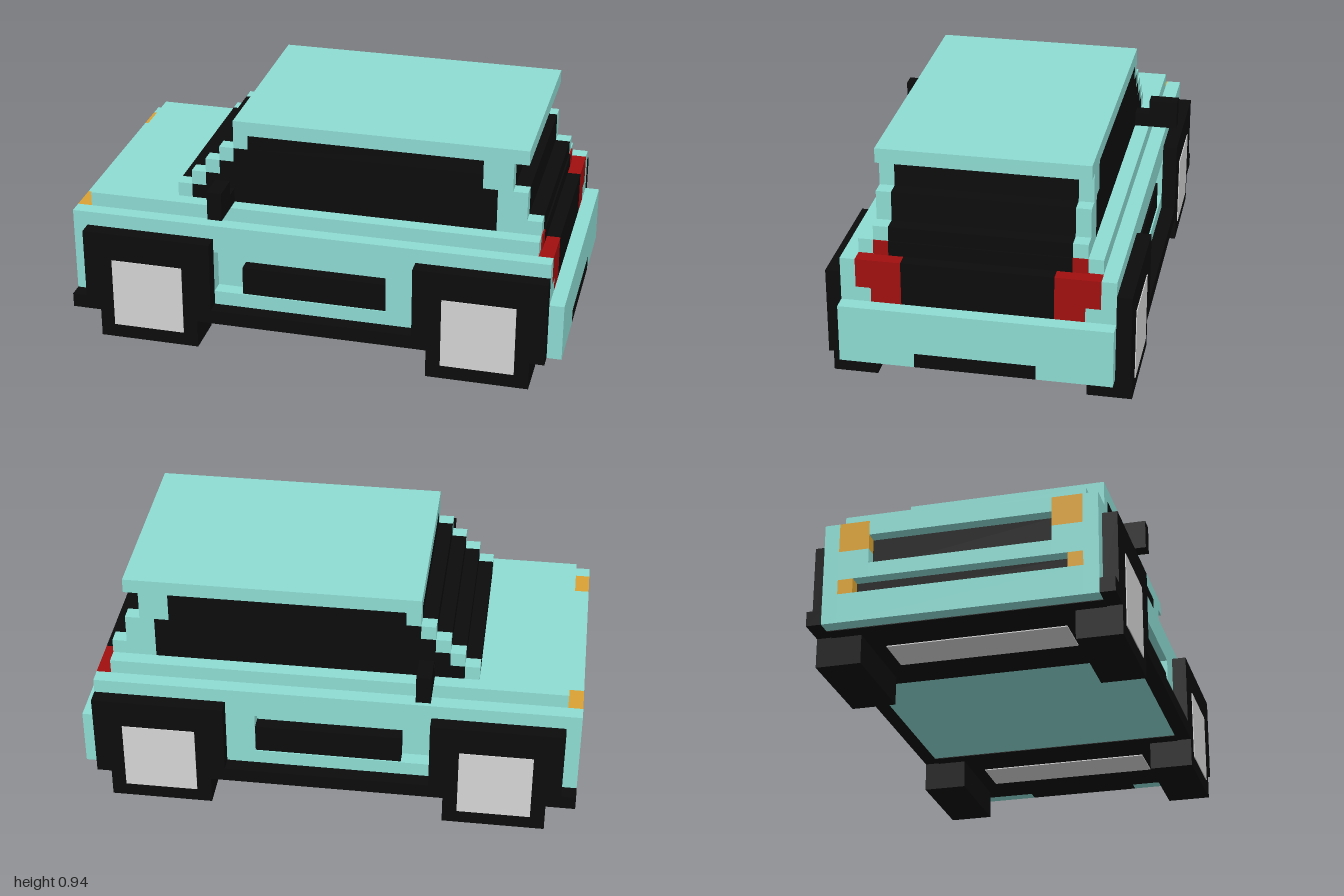
import * as THREE from 'three';

const U = 2 / 34; // one block

export function createModel() {
  const car = new THREE.Group();
  car.name = 'blockCar';
  const mat = (name, color) => {
    const m = new THREE.MeshStandardMaterial({ color });
    m.name = name;
    return m;
  };
  const paint = mat('turquoise paint', 0x8eddd4);
  const black = mat('black trim', 0x0c0c0c);
  const silver = mat('silver hub', 0xd6d6d6);
  const red = mat('red lamp', 0xa20f0f);
  const amber = mat('amber lamp', 0xdaa233);

  // Box between block coordinates: x 0 (nose) to 34 (tail), y from ground, z from centre
  const box = (name, m, x0, x1, y0, y1, z0, z1) => {
    const g = new THREE.BoxGeometry((x1 - x0) * U, (y1 - y0) * U, (z1 - z0) * U);
    const mesh = new THREE.Mesh(g, m);
    mesh.position.set(((x0 + x1) / 2 - 17) * U, ((y0 + y1) / 2) * U, ((z0 + z1) / 2) * U);
    mesh.name = name;
    car.add(mesh);
  };
  const wide = (name, m, x0, x1, y0, y1, z) => box(name, m, x0, x1, y0, y1, -z, z);
  const pair = (name, m, x0, x1, y0, y1, z0, z1) => {
    box(name + 'Left', m, x0, x1, y0, y1, z0, z1);
    box(name + 'Right', m, x0, x1, y0, y1, -z1, -z0);
  };

  // Lower body
  wide('bodyCore', paint, 1, 32, 2, 8, 8);
  wide('beltline', paint, 1, 32, 8, 9, 9);
  wide('hoodDeck', paint, 1, 32, 9, 10, 8);
  pair('frontFender', paint, 1, 10, 2, 8, 8, 9);
  pair('rearFender', paint, 22, 32, 2, 8, 8, 9);
  pair('doorBottom', paint, 10, 22, 2, 4, 8, 9);
  pair('doorTop', paint, 10, 22, 7, 8, 8, 9);
  pair('doorPanel', black, 12, 22, 4, 6, 8, 8.9);
  pair('sill', black, 0, 33, 2, 3, 9, 10);

  // Nose
  pair('noseCorner', paint, 0, 1, 2, 9, 8, 9);
  wide('noseLip', paint, 0, 1, 8, 9, 6);
  pair('headlamp', amber, 0, 1, 7, 9, 6, 8);
  pair('noseCheek', paint, 0, 1, 5, 7, 6, 8);
  wide('noseBar', paint, 0, 1, 5, 6, 6);
  wide('upperGrille', black, 0.85, 1, 6, 8, 6);
  wide('lowerGrille', black, 0.85, 1, 4, 5, 7);
  pair('frontIndicator', amber, 0, 1, 4, 5, 7, 8);
  wide('frontBumper', paint, 0, 1, 2, 4, 8);

  // Tail
  pair('tailCorner', paint, 32, 33, 2, 9, 8, 9);
  wide('tailBase', paint, 32, 33, 2, 6, 8);
  wide('tailPanel', black, 32, 33, 6, 9, 5);
  pair('tailLampInner', red, 32, 33, 6, 9, 5, 7);
  pair('tailLampOuter', red, 32, 33, 7, 9, 7, 8);
  pair('tailLampGap', paint, 32, 33, 6, 7, 7, 8);
  pair('tailLampTop', red, 32, 32.1, 9, 10, 6, 7);
  wide('tailPanelTop', black, 32, 32.1, 9, 10, 6);
  wide('rearBumperTop', paint, 33, 34, 3, 6, 9);
  pair('rearBumperBottom', paint, 33, 34, 2, 3, 4, 9);
  wide('rearDiffuser', black, 33, 34, 2, 3, 4);

  // Cabin: one stepped layer per row, glass inside and pillars outside
  const rearEdge = [32, 31, 31, 30, 30];
  const sideEnd = [29, 29, 29, 28, 28];
  for (let i = 0; i < 5; i++) {
    const y = 10 + i, x0 = 7 + i, x1 = rearEdge[i];
    wide('cabinGlass' + i, black, x0, x1, y, y + 1, 6);
    pair('windscreenPillar' + i, paint, x0, x0 + 1, y, y + 1, 6, 7);
    pair('sideWindow' + i, black, x0 + 1, sideEnd[i], y, y + 1, 6, 7);
    pair('rearPillar' + i, paint, sideEnd[i], x1, y, y + 1, 6, 7);
  }
  wide('roof', paint, 11, 31, 15, 16, 7);
  pair('mirrorArm', black, 10, 11, 10, 11, 7, 8);
  pair('mirrorHead', black, 10, 11, 10, 12, 8, 10);

  // Wheels, arches and axles
  for (const [end, x] of [['front', 1], ['rear', 24]]) {
    pair(end + 'Arch', black, x, x + 9, 3, 8, 9, 10);
    pair(end + 'Wheel', black, x + 1, x + 8, 0, 7, 7, 10);
    pair(end + 'Hub', silver, x + 2, x + 7, 1, 6, 10, 10.06);
    wide(end + 'AxleTunnel', black, x, x + 9, 1.95, 2.1, 9);
    wide(end + 'Axle', silver, x + 3, x + 6, 1.88, 2, 6);
  }
  return car;
}
